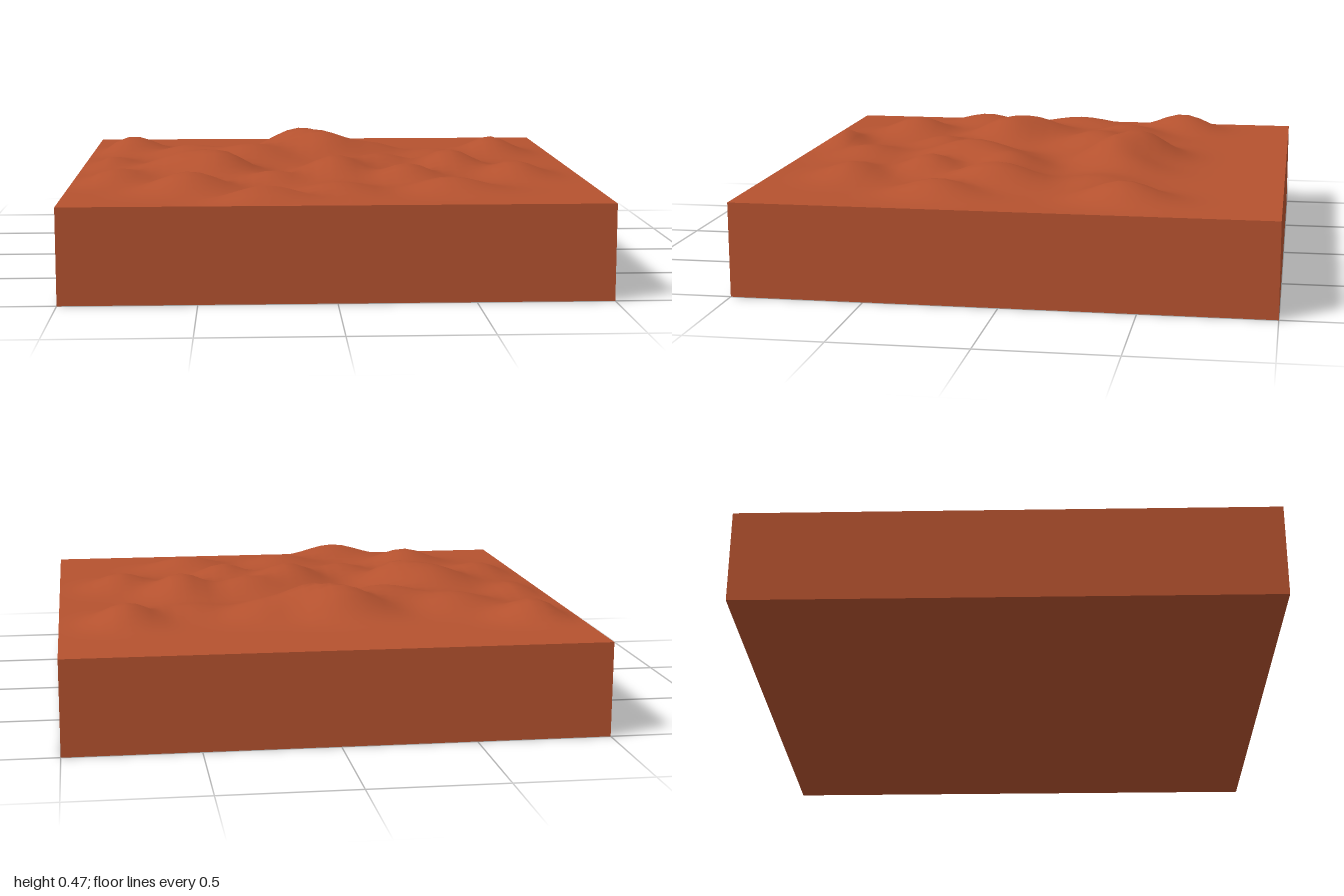
import * as THREE from 'three';

const BASE = 0.355;

// Hills: x, z, height above the slab, radius along x, radius along z
const HILLS = [
  [-0.10, -0.40, 0.115, 0.16, 0.13],
  [0.02, -0.30, 0.10, 0.14, 0.12],
  [-0.30, -0.20, 0.075, 0.18, 0.15],
  [0.20, -0.36, 0.06, 0.14, 0.14],
  [-0.55, 0.15, 0.09, 0.17, 0.18],
  [-0.42, 0.22, 0.085, 0.12, 0.14],
  [-0.56, -0.30, 0.06, 0.16, 0.14],
  [-0.82, -0.52, 0.07, 0.12, 0.13],
  [-0.82, 0.38, 0.05, 0.12, 0.14],
  [-0.54, 0.64, 0.075, 0.14, 0.13],
  [-0.25, 0.91, 0.06, 0.15, 0.07],
  [-0.22, 0.45, 0.05, 0.12, 0.12],
  [0.03, 0.28, 0.085, 0.13, 0.19],
  [0.22, 0.10, 0.07, 0.15, 0.13],
  [0.30, 0.40, 0.07, 0.12, 0.11],
  [0.50, 0.10, 0.085, 0.12, 0.17],
  [0.44, 0.68, 0.055, 0.15, 0.11],
  [0.74, -0.42, 0.075, 0.11, 0.14],
  [0.74, 0.28, 0.06, 0.11, 0.14],
  [0.02, 0.72, 0.045, 0.14, 0.13],
  [0.48, -0.30, 0.035, 0.14, 0.14],
  [-0.88, -0.05, 0.04, 0.1, 0.16],
];

// Soft blend of the hills, fading to nothing at the rim
function terrainHeight(x, z) {
  let sum = 0;
  for (const [hx, hz, h, rx, rz] of HILLS) {
    const d = ((x - hx) / rx) ** 2 + ((z - hz) / rz) ** 2;
    sum += (h * Math.exp(-d * 0.8)) ** 2;
  }
  const fade = THREE.MathUtils.smoothstep(1 - Math.abs(x), 0, 0.12)
    * THREE.MathUtils.smoothstep(1 - Math.abs(z), 0, 0.08)
    * THREE.MathUtils.smoothstep(z, -0.88, -0.6);
  return Math.min(Math.sqrt(sum), 0.12) * fade;
}

export function createModel() {
  const group = new THREE.Group();
  group.name = 'terrainTile';
  const earth = new THREE.MeshStandardMaterial({ color: 0xb5522f });
  earth.name = 'red earth';

  // Slab whose top face is raised into hills; the sides stay flat
  const geometry = new THREE.BoxGeometry(2, BASE, 2, 40, 1, 40);
  geometry.translate(0, BASE / 2, 0);
  const p = geometry.attributes.position;
  for (let i = 0; i < p.count; i++) {
    if (p.getY(i) > BASE / 2) p.setY(i, BASE + terrainHeight(p.getX(i), p.getZ(i)));
  }
  geometry.computeVertexNormals();

  const block = new THREE.Mesh(geometry, earth);
  block.name = 'groundBlock';
  group.add(block);
  return group;
}
